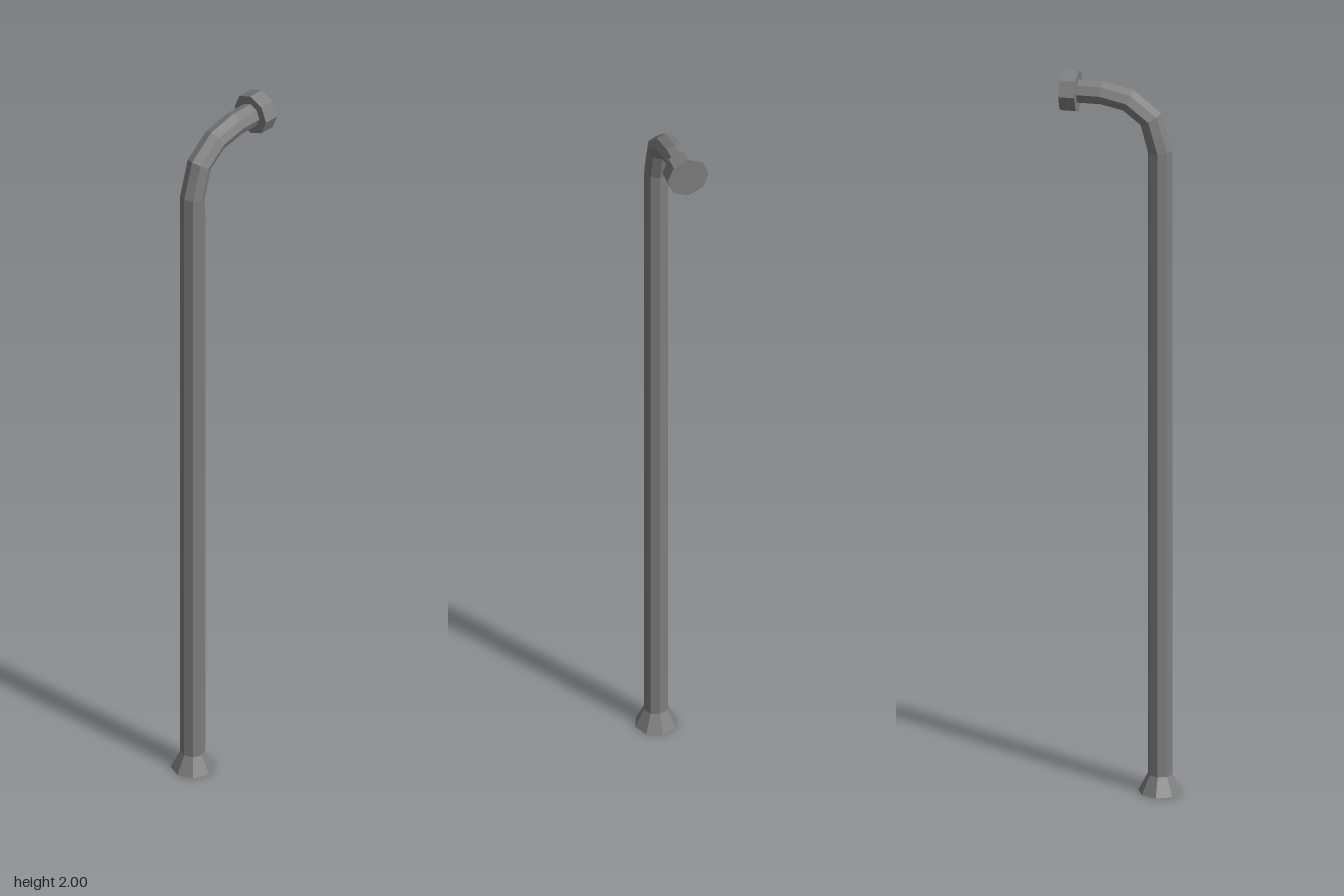
import * as THREE from 'three';

const SIDES = 8;
const PIPE_R = 0.033;
const FLANGE_R = 0.057;
const FOOT_R = 0.058;
const POST_Z = 0.101;
const OUTLET_Y = 1.943;

// Centre line of the pipe in the yz plane: [y, z]
const PATH = [
  [0.05, POST_Z], [1.79, POST_Z], [1.879, 0.076],
  [1.927, 0.016], [OUTLET_Y, -0.056], [OUTLET_Y, -0.125],
];

// Octagonal pipe lofted through mitred rings along the centre line
function pipeGeometry(path, radius) {
  const pos = [], index = [];
  const dir = (a, b) => new THREE.Vector2(b[0] - a[0], b[1] - a[1]).normalize();
  path.forEach(([y, z], i) => {
    const t = new THREE.Vector2();
    if (i > 0) t.add(dir(path[i - 1], path[i]));
    if (i < path.length - 1) t.add(dir(path[i], path[i + 1]));
    t.normalize();
    for (let j = 0; j < SIDES; j++) {
      const a = (j / SIDES) * Math.PI * 2;
      const n = radius * Math.sin(a);
      pos.push(radius * Math.cos(a), y - t.y * n, z + t.x * n);
      if (i === path.length - 1) continue;
      const p = i * SIDES + j, q = i * SIDES + (j + 1) % SIDES;
      index.push(p, p + SIDES, q, q, p + SIDES, q + SIDES);
    }
  });
  const g = new THREE.BufferGeometry();
  g.setAttribute('position', new THREE.Float32BufferAttribute(pos, 3));
  g.setIndex(index);
  const flat = g.toNonIndexed();
  flat.computeVertexNormals();
  return flat;
}

export function createModel() {
  const group = new THREE.Group();
  group.name = 'bentPipe';
  // Dark grey metal
  const material = new THREE.MeshStandardMaterial({ color: 0x7e7e7e, flatShading: true });
  const add = (name, geometry) => {
    const mesh = new THREE.Mesh(geometry, material);
    mesh.name = name;
    group.add(mesh);
    return mesh;
  };

  // Upright pipe with the bend at the top
  add('pipe', pipeGeometry(PATH, PIPE_R));

  // Flared foot
  add('flaredFoot', new THREE.CylinderGeometry(PIPE_R, FOOT_R, 0.05, SIDES))
    .position.set(0, 0.025, POST_Z);

  // Collar closing the outlet at the back
  const collar = add('endCollar', new THREE.CylinderGeometry(FLANGE_R, FLANGE_R, 0.043, SIDES));
  collar.rotation.x = Math.PI / 2;
  collar.position.set(0, OUTLET_Y, -0.139);

  return group;
}
